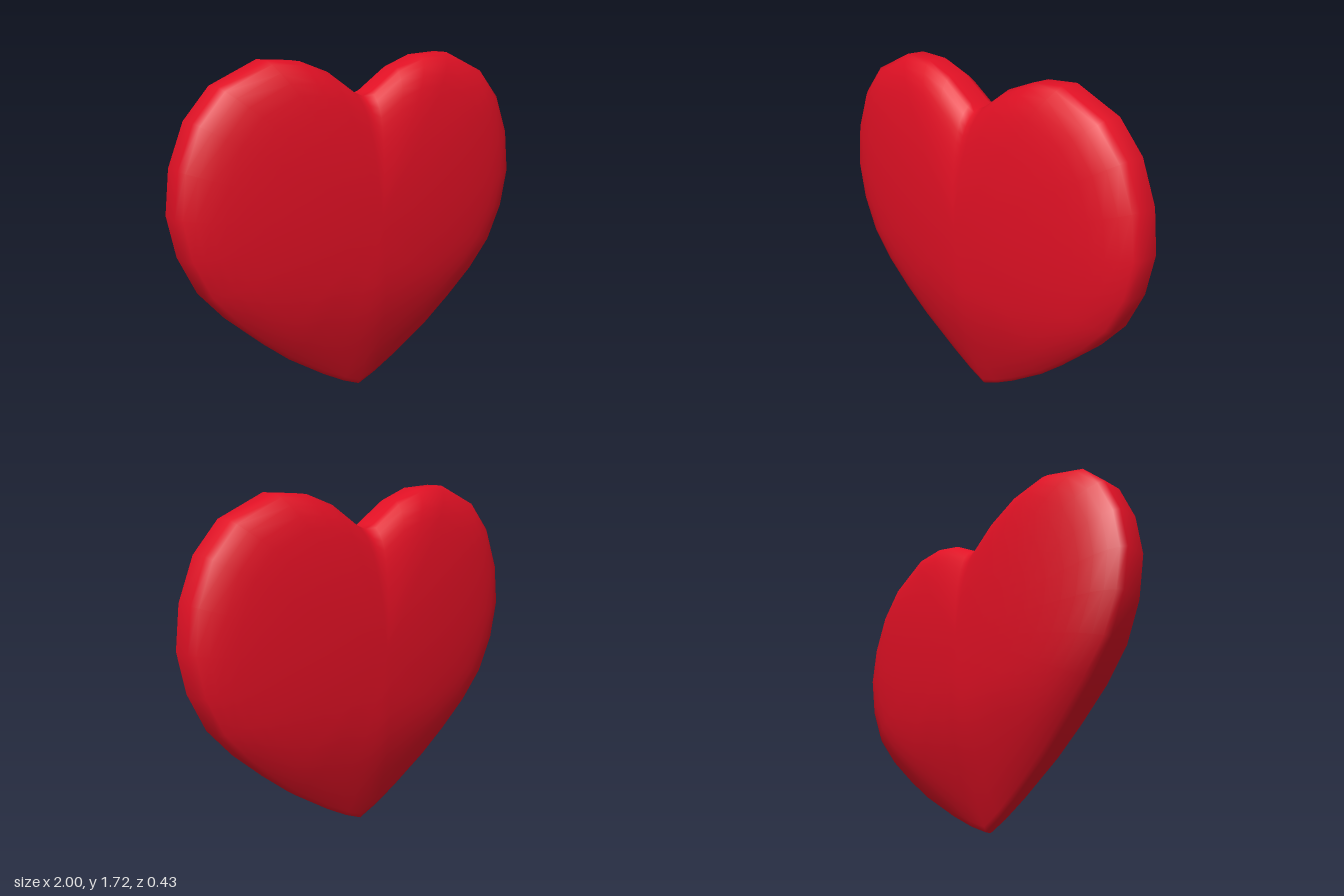
import * as THREE from 'three';

// Right half of the heart outline, bottom tip to top notch
const half = [
  [0, 0], [0.1, 0.045], [0.23, 0.12], [0.44, 0.26], [0.58, 0.375], [0.74, 0.52], [0.87, 0.67],
  [0.96, 0.86], [1, 1.06], [0.975, 1.27], [0.895, 1.47], [0.765, 1.615],
  [0.525, 1.72], [0.355, 1.71], [0.205, 1.655], [0.05, 1.55], [0, 1.53],
];

// Cushion profile: [outline scale, half thickness], centre to rim
const profile = [
  [0, 0.215], [0.2, 0.211], [0.36, 0.203], [0.5, 0.191], [0.62, 0.178],
  [0.72, 0.163], [0.8, 0.148], [0.87, 0.13], [0.93, 0.105], [0.975, 0.075], [1, 0.05],
];

const centreY = 0.95;

// The body thins out towards the bottom tip
const taper = (y) => 0.3 + 0.7 * Math.sin((Math.PI / 2) * Math.min(1, y / 0.65));

function heartGeometry() {
  const mirrored = half.slice(1, -1).reverse().map(([x, y]) => [-x, y]);
  const outline = [...half, ...mirrored];
  const back = [...profile].reverse().map(([s, z]) => [s, -z]);
  const rings = [...profile, ...back].slice(1, -1);
  const n = outline.length;
  const positions = [0, centreY, profile[0][1]];
  const index = [];

  // Scaled outlines stacked from front to back
  for (const [s, z] of rings) {
    for (const [x, y] of outline) {
      const py = centreY + (y - centreY) * s;
      positions.push(x * s, py, z * taper(py));
    }
  }
  positions.push(0, centreY, -profile[0][1]);

  const at = (ring, i) => 1 + ring * n + (i % n);
  const last = rings.length - 1;
  const backCentre = 1 + rings.length * n;
  for (let i = 0; i < n; i++) {
    index.push(0, at(0, i), at(0, i + 1));
    for (let r = 0; r < last; r++) {
      const a = at(r, i), b = at(r + 1, i), c = at(r + 1, i + 1), d = at(r, i + 1);
      index.push(a, b, c, a, c, d);
    }
    index.push(at(last, i), backCentre, at(last, i + 1));
  }

  const geometry = new THREE.BufferGeometry();
  geometry.setAttribute('position', new THREE.Float32BufferAttribute(positions, 3));
  geometry.setIndex(index);
  geometry.computeVertexNormals();
  return geometry;
}

export function createModel() {
  const group = new THREE.Group();
  group.name = 'heart';
  const body = new THREE.Mesh(heartGeometry(), new THREE.MeshStandardMaterial({ color: 0xe01024 }));
  body.name = 'heartBody';
  group.add(body);
  return group;
}
